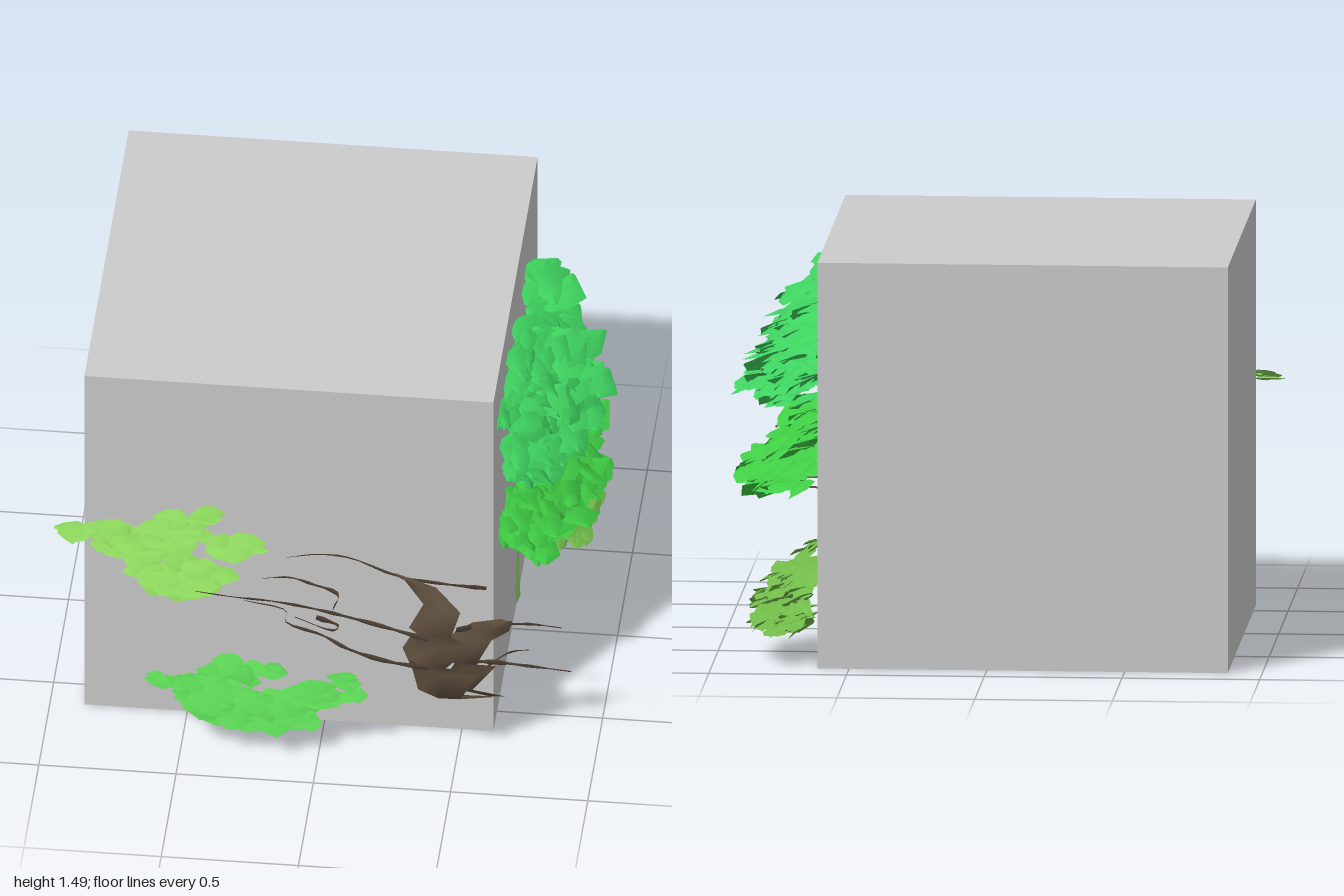
import * as THREE from 'three';
import { mergeGeometries } from 'three/addons/utils/BufferGeometryUtils.js';

const BARK = 0x5f4f3e;

function seeded(seed) {
  let s = seed;
  return () => ((s = (s * 16807) % 2147483647) / 2147483647);
}

// Open sheet through rows of points
function sheet(rows) {
  const n = rows[0].length, index = [];
  for (let i = 0; i < rows.length - 1; i++) {
    for (let j = 0; j < n - 1; j++) {
      const a = i * n + j;
      index.push(a, a + 1, a + n, a + 1, a + n + 1, a + n);
    }
  }
  const g = new THREE.BufferGeometry();
  g.setAttribute('position', new THREE.Float32BufferAttribute(rows.flat(2), 3));
  g.setIndex(index);
  g.computeVertexNormals();
  return g;
}

function addMesh(group, name, geometry, color) {
  const material = new THREE.MeshStandardMaterial({ color, side: THREE.DoubleSide });
  const mesh = new THREE.Mesh(geometry, material);
  mesh.name = name;
  group.add(mesh);
}

// One cupped leaf: long in x, broad in z, facing up
function leaf(length, width, rnd) {
  const profile = [[-1, 0.12], [-0.45, 0.85], [0.3, 1], [1, 0.1]];
  return sheet(profile.map(([t, w]) => {
    const half = w * width * (0.75 + 0.5 * rnd());
    const y = -0.12 * length * t * t;
    const skew = (rnd() - 0.5) * width * 0.6;
    return [[t * length, y - half * 0.2, skew - half], [t * length, y, skew],
      [t * length, y - half * 0.35, skew + half]];
  }));
}

// Leaves scattered in half ellipsoids against a wall.
// clump: [across, height, half width, half height, depth, count]
function foliage(group, name, color, seed, size, base, clumps) {
  const rnd = seeded(seed), parts = [];
  for (let i = 0; i < 5; i++) rnd();
  for (const [u, y, ru, ry, depth, count] of clumps) {
    for (let i = 0; i < count; i++) {
      const a = rnd() * Math.PI * 2, r = Math.sqrt(rnd());
      const k = size * (0.65 + 0.7 * rnd());
      const g = leaf(k, Math.min(k * 0.6, depth * 0.45), rnd);
      g.rotateZ((rnd() - 0.5) * 0.4);
      g.rotateX(0.1 + 0.55 * rnd());
      g.rotateY((rnd() - 0.5) * 1.5 * Math.min(1, depth * 5));
      const d = depth * Math.sqrt(1 - 0.75 * r * r) * (0.15 + 0.75 * Math.sqrt(rnd()));
      g.translate(u + ru * r * Math.cos(a), y + ry * r * Math.sin(a), base + d);
      parts.push(g);
    }
  }
  addMesh(group, name, mergeGeometries(parts), color);
}

// Creased ribbon along rows [x, y, z, half width], widened along side
function ribbon(rows, side, crease) {
  return sheet(rows.map(([x, y, z, w]) => [-1, 0, 1].map((s) => [
    x + s * w * side[0], y + s * w * side[1], z + s * w * side[2] + (s ? 0 : crease * w),
  ])));
}

// Thin branch that tapers to its tip and follows a smooth curve
function branch(points, width) {
  const curve = new THREE.CatmullRomCurve3(points.map((p) => new THREE.Vector3(...p)));
  const rows = curve.getPoints(points.length * 3).map((p, i, all) => {
    const t = i / (all.length - 1);
    return [p.x, p.y, p.z, width * (1 - 0.85 * t) * (0.8 + 0.3 * Math.sin(i * 1.7))];
  });
  return ribbon(rows, [0.15, 0.85, 0.5], 0.4);
}

export function createModel() {
  const model = new THREE.Group();
  model.name = 'decoratedCube';

  // Cube
  const cube = new THREE.Mesh(new THREE.BoxGeometry(1.49, 1.49, 1.485),
    new THREE.MeshStandardMaterial({ color: 0xcccccc }));
  cube.name = 'cube';
  cube.position.set(-0.13, 0.745, -0.1225);
  model.add(cube);

  // Tree and bush on the +x face, built facing +z and then turned
  const tree = new THREE.Group();
  tree.name = 'sideTree';
  tree.rotation.y = Math.PI / 2;
  tree.position.x = 0.618;
  model.add(tree);
  foliage(tree, 'upperCanopy', 0x3fd460, 11, 0.085, 0, [
    [0.12, 0.95, 0.42, 0.06, 0.33, 105],
    [0.18, 1.05, 0.38, 0.06, 0.28, 85],
    [0.12, 1.14, 0.34, 0.06, 0.23, 60],
    [-0.2, 1.0, 0.16, 0.07, 0.2, 20],
    [-0.38, 1.1, 0.1, 0.04, 0.1, 9],
    [0.42, 1.22, 0.13, 0.06, 0.17, 20],
    [-0.12, 1.22, 0.22, 0.05, 0.18, 24],
    [-0.08, 1.31, 0.2, 0.05, 0.08, 14],
    [-0.44, 1.29, 0.06, 0.02, 0.06, 5],
  ]);
  foliage(tree, 'lowerCanopy', 0x40cf45, 23, 0.085, 0, [
    [0.14, 0.63, 0.47, 0.035, 0.34, 100],
    [0.08, 0.71, 0.44, 0.05, 0.27, 80],
    [0.0, 0.8, 0.34, 0.05, 0.18, 40],
    [0.55, 0.78, 0.08, 0.03, 0.15, 8],
    [-0.38, 0.79, 0.08, 0.04, 0.1, 8],
  ]);
  foliage(tree, 'bush', 0x72bb4a, 37, 0.06, 0, [
    [0.56, 0.14, 0.24, 0.03, 0.31, 55],
    [0.57, 0.21, 0.25, 0.05, 0.28, 65],
    [0.54, 0.29, 0.2, 0.05, 0.22, 45],
    [0.47, 0.37, 0.09, 0.035, 0.12, 14],
    [0.69, 0.35, 0.06, 0.03, 0.1, 8],
    [0.31, 0.26, 0.06, 0.04, 0.1, 8],
  ]);
  addMesh(tree, 'trunk', ribbon([
    [0.075, 0.095, 0.012, 0.055], [0.045, 0.18, 0.012, 0.06], [0.05, 0.28, 0.012, 0.045],
    [0.09, 0.36, 0.014, 0.035], [0.13, 0.45, 0.016, 0.045], [0.21, 0.54, 0.02, 0.08],
    [0.31, 0.61, 0.02, 0.07], [0.4, 0.72, 0.018, 0.04], [0.44, 0.82, 0.014, 0.035],
    [0.44, 0.9, 0.012, 0.04],
  ], [1, -0.1, 0], 0.15), 0x9ad873);

  // Leaves on the front
  foliage(model, 'upperFrontLeaves', 0x8bd45c, 51, 0.055, 0.63, [
    [-0.62, 0.84, 0.22, 0.04, 0.11, 38],
    [-0.66, 0.78, 0.15, 0.03, 0.1, 18],
    [-0.5, 0.91, 0.12, 0.03, 0.07, 8],
    [-0.33, 0.81, 0.1, 0.03, 0.09, 9],
    [-0.87, 0.84, 0.08, 0.02, 0.1, 8],
    [-0.55, 0.68, 0.19, 0.05, 0.1, 24],
    [-0.58, 0.6, 0.16, 0.025, 0.09, 16],
  ]);
  foliage(model, 'lowerFrontLeaves', 0x58cf52, 67, 0.055, 0.78, [
    [-0.2, 0.14, 0.2, 0.03, 0.08, 26],
    [-0.24, 0.21, 0.24, 0.05, 0.09, 50],
    [-0.4, 0.25, 0.13, 0.05, 0.1, 20],
    [-0.3, 0.33, 0.15, 0.04, 0.07, 15],
    [0.0, 0.26, 0.14, 0.04, 0.06, 15],
    [-0.56, 0.29, 0.06, 0.02, 0.06, 4],
    [0.11, 0.33, 0.05, 0.02, 0.05, 4],
  ]);

  // Zigzag trunk of folded bark strips
  const bark = new THREE.Group();
  bark.name = 'frontBranch';
  model.add(bark);
  const side = [0.98, -0.05, 0.2];
  [
    [[0.26, 0.82, 0.79, 0.02], [0.37, 0.79, 0.81, 0.06], [0.45, 0.7, 0.83, 0.07],
      [0.41, 0.61, 0.86, 0.08], [0.46, 0.53, 0.8, 0.1], [0.4, 0.46, 0.85, 0.07],
      [0.45, 0.38, 0.76, 0.13], [0.44, 0.31, 0.83, 0.08], [0.52, 0.215, 0.66, 0.13]],
    [[0.69, 0.69, 0.86, 0.02], [0.63, 0.64, 0.84, 0.07], [0.56, 0.56, 0.8, 0.07],
      [0.5, 0.48, 0.84, 0.08], [0.57, 0.4, 0.74, 0.07], [0.5, 0.33, 0.8, 0.06],
      [0.6, 0.22, 0.68, 0.07]],
    [[0.36, 0.49, 0.72, 0.03], [0.35, 0.4, 0.7, 0.06], [0.4, 0.31, 0.74, 0.06],
      [0.44, 0.22, 0.69, 0.07]],
  ].forEach((rows, i) => addMesh(bark, 'trunkStrip' + (i + 1), ribbon(rows, side, 0.3), BARK));

  // Branches, each from trunk to tip, with width
  [
    [0.02, [[0.61, 0.79, 0.81], [0.45, 0.79, 0.8], [0.28, 0.79, 0.77], [0.1, 0.82, 0.72],
      [-0.02, 0.81, 0.7], [-0.13, 0.78, 0.69]]],
    [0.026, [[0.4, 0.53, 0.8], [0.25, 0.55, 0.77], [0.08, 0.57, 0.74], [-0.04, 0.58, 0.72],
      [-0.18, 0.6, 0.72], [-0.32, 0.615, 0.73], [-0.46, 0.63, 0.73]]],
    [0.028, [[0.4, 0.39, 0.78], [0.25, 0.39, 0.76], [0.1, 0.42, 0.74], [0.0, 0.47, 0.73],
      [-0.13, 0.51, 0.72], [-0.13, 0.56, 0.72], [-0.28, 0.61, 0.74]]],
    [0.026, [[-0.02, 0.54, 0.72], [0.06, 0.5, 0.71], [0.04, 0.47, 0.7], [-0.1, 0.52, 0.7]]],
    [0.026, [[0.04, 0.58, 0.72], [0.06, 0.64, 0.71], [-0.04, 0.675, 0.7], [-0.12, 0.69, 0.69],
      [-0.22, 0.67, 0.68]]],
    [0.035, [[0.5, 0.38, 0.72], [0.62, 0.42, 0.76], [0.76, 0.435, 0.79], [0.92, 0.445, 0.82]]],
    [0.03, [[0.5, 0.6, 0.82], [0.64, 0.62, 0.8], [0.76, 0.625, 0.79], [0.88, 0.61, 0.78]]],
    [0.025, [[0.52, 0.3, 0.74], [0.6, 0.35, 0.7], [0.68, 0.4, 0.67], [0.75, 0.41, 0.66]]],
  ].forEach(([w, pts], i) => addMesh(bark, 'branch' + (i + 1), branch(pts, w), BARK));

  return model;
}
